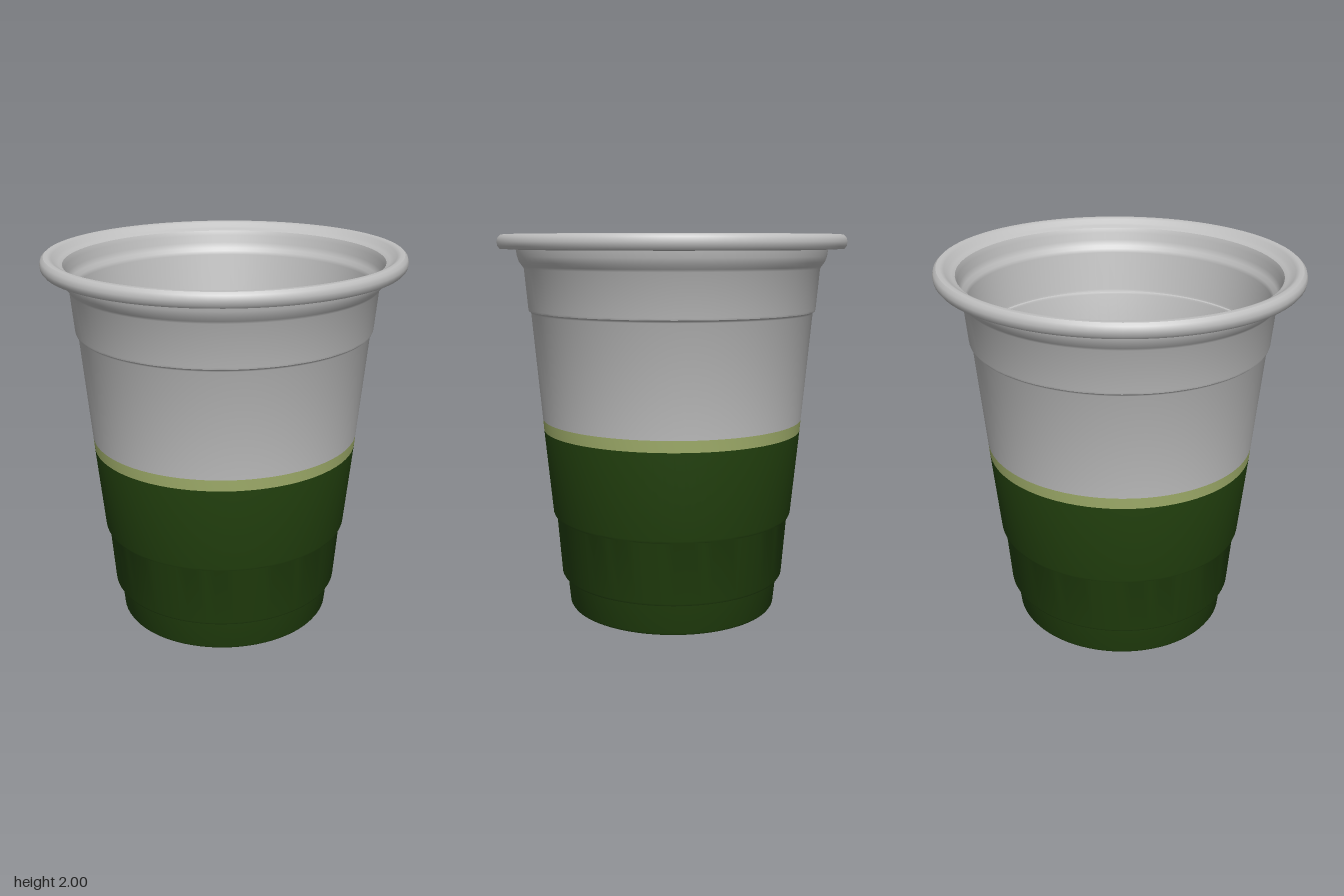
import * as THREE from 'three';
import { toCreasedNormals } from 'three/addons/utils/BufferGeometryUtils.js';

const material = (name, color) => {
  const m = new THREE.MeshStandardMaterial({ color });
  m.name = name;
  return m;
};

export function createModel() {
  const cup = new THREE.Group();
  cup.name = 'cup';
  const grey = material('cup grey', 0xc0c0c0);
  const darkGreen = material('dark green', 0x24430f);
  const paleGreen = material('pale green', 0xa2b06c);
  const mint = material('mint green', 0x88ab88);

  const add = (name, geometry, mat) => {
    const mesh = new THREE.Mesh(geometry, mat);
    mesh.name = name;
    cup.add(mesh);
    return mesh;
  };
  // Revolve a [radius, height] profile, keeping the steps crisp
  const revolve = (name, profile, mat) => {
    const points = profile.map(([r, y]) => new THREE.Vector2(r, y));
    return add(name, toCreasedNormals(new THREE.LatheGeometry(points, 80), 0.6), mat);
  };

  // Stepped lower wall with a recessed underside
  revolve('lowerWall', [
    [0, 0.12], [0.56, 0.12], [0.565, 0.01], [0.57, 0], [0.578, 0.012],
    [0.593, 0.16], [0.597, 0.168], [0.615, 0.17], [0.622, 0.182],
    [0.648, 0.5], [0.652, 0.507], [0.662, 0.51], [0.666, 0.52], [0.71, 0.97],
  ], darkGreen);

  // Pale stripe at the fill line
  revolve('fillBand', [[0.71, 0.97], [0.715, 1.03]], paleGreen);

  // Upper wall outside, rolled rim, then the inside wall back down
  revolve('upperWallAndRim', [
    [0.715, 1.03], [0.766, 1.592], [0.77, 1.6], [0.778, 1.605], [0.781, 1.615],
    [0.8, 1.825], [0.808, 1.838], [0.825, 1.86], [0.835, 1.89], [0.84, 1.922],
    [0.925, 1.926], [0.936, 1.94], [0.94, 1.962], [0.934, 1.985], [0.92, 1.998],
    [0.9, 2], [0.88, 1.992], [0.865, 1.972], [0.845, 1.965], [0.828, 1.955],
    [0.818, 1.93], [0.812, 1.89], [0.8, 1.86], [0.782, 1.845], [0.776, 1.825],
    [0.757, 1.612], [0.754, 1.602], [0.745, 1.598], [0.741, 1.588], [0.685, 1.02],
  ], grey);

  // Drink surface
  const surface = add('drinkSurface', new THREE.CircleGeometry(0.69, 80), paleGreen);
  surface.rotation.x = -Math.PI / 2;
  surface.position.y = 1.025;

  // Wavy-edged foam patch, outlined as [x, z]
  const outline = [
    [-0.05, -0.575], [0.06, -0.55], [0.15, -0.52], [0.24, -0.5], [0.36, -0.4],
    [0.41, -0.34], [0.51, -0.29], [0.56, -0.16], [0.59, 0], [0.585, 0.15],
    [0.56, 0.26], [0.51, 0.35], [0.42, 0.44], [0.3, 0.51], [0.18, 0.535],
    [0.06, 0.565], [-0.1, 0.545], [-0.2, 0.52], [-0.34, 0.48], [-0.44, 0.39],
    [-0.53, 0.27], [-0.6, 0.1], [-0.6, -0.15], [-0.55, -0.33], [-0.45, -0.38],
    [-0.35, -0.48], [-0.2, -0.55], [-0.12, -0.575],
  ].map(([x, z]) => new THREE.Vector3(x, -z, 0));
  const edge = new THREE.CatmullRomCurve3(outline, true).getPoints(110).slice(0, -1);
  const shape = new THREE.Shape(edge.map((p) => new THREE.Vector2(p.x, p.y)).reverse());
  const foam = add('foamPatch', new THREE.ShapeGeometry(shape), mint);
  foam.rotation.x = -Math.PI / 2;
  foam.position.y = 1.031;

  // The cup is slightly oval
  cup.scale.z = 0.97;
  const model = new THREE.Group();
  model.name = 'drinkCup';
  model.add(cup);
  return model;
}
